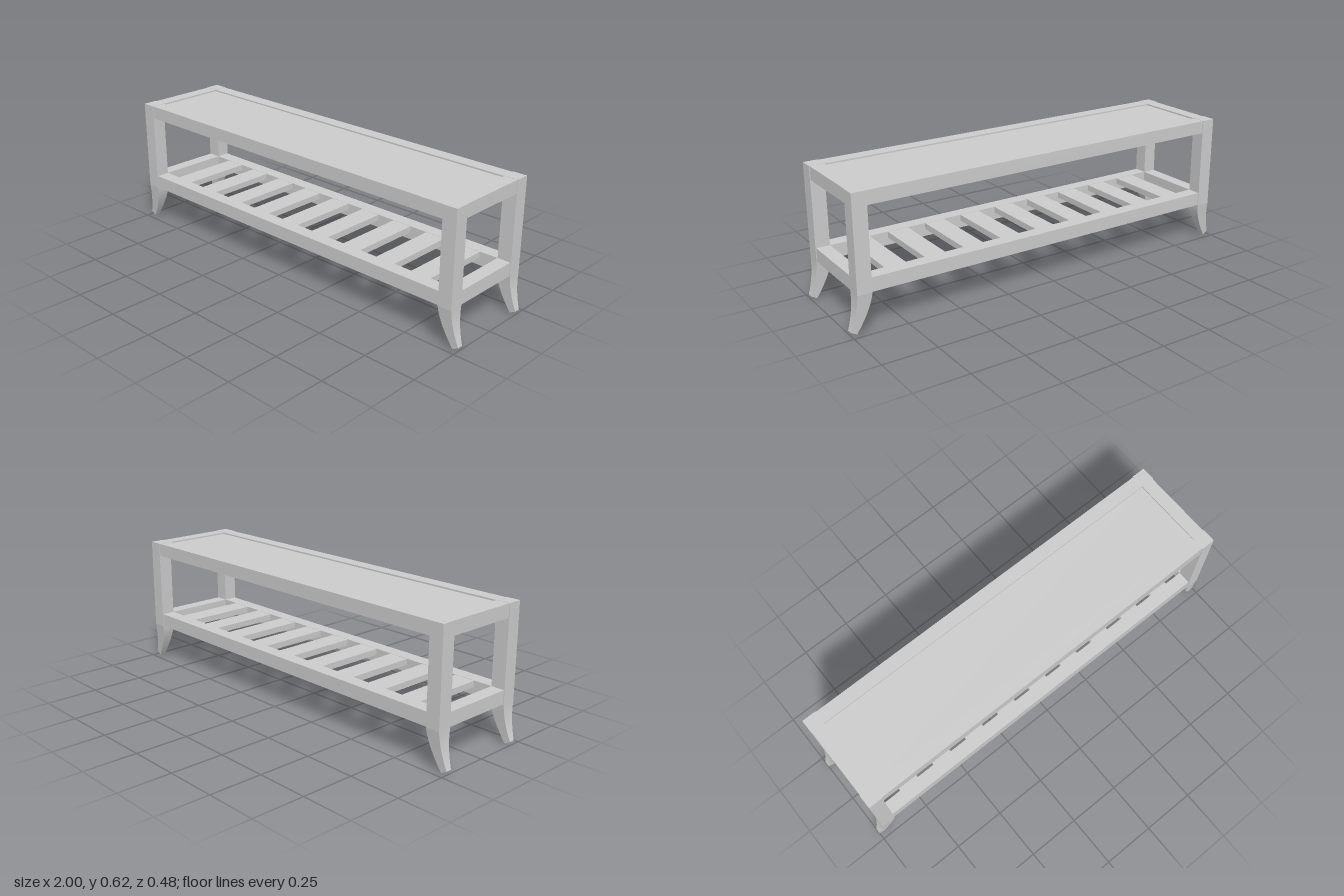
import * as THREE from 'three';

const W = 0.067;                 // leg and rail thickness
const LEG_X = 0.9365, LEG_Z = 0.2065;
const INNER_X = LEG_X - W / 2, INNER_Z = LEG_Z - W / 2;
const INSET = 0.003;             // rails sit slightly behind the leg faces
const SPLIT = 0.18;              // height where the leg starts to flare

// Tapered foot sweeping outward along +x, with a slanted sole
function footGeometry() {
  const geo = new THREE.BoxGeometry(1, 1, 1, 1, 10, 1);
  const p = geo.attributes.position;
  for (let i = 0; i < p.count; i++) {
    const t = 0.5 - p.getY(i);   // 0 at the top, 1 at the sole
    const outer = p.getX(i) > 0;
    const x = outer ? W / 2 + 0.03 * t * t : -W / 2 + 0.07 * Math.pow(t, 1.6);
    const y = SPLIT - t * (outer ? SPLIT - 0.015 : SPLIT);
    const z = Math.sign(p.getZ(i)) * (W / 2 - 0.02 * t);
    p.setXYZ(i, x, y, z);
  }
  geo.computeVertexNormals();
  return geo;
}

export function createModel() {
  const model = new THREE.Group();
  model.name = 'slattedBench';
  const paint = new THREE.MeshStandardMaterial({ color: 0xcccccc });
  paint.name = 'lightGrey';

  // Box given by its lower and upper limits
  function box(name, x0, x1, y0, y1, z0, z1, parent = model) {
    const mesh = new THREE.Mesh(new THREE.BoxGeometry(x1 - x0, y1 - y0, z1 - z0), paint);
    mesh.position.set((x0 + x1) / 2, (y0 + y1) / 2, (z0 + z1) / 2);
    mesh.name = name;
    parent.add(mesh);
  }

  // Four legs, each a square post over a flared foot
  const foot = footGeometry();
  for (const sx of [-1, 1]) for (const sz of [-1, 1]) {
    const leg = new THREE.Group();
    leg.name = (sz > 0 ? 'front' : 'back') + (sx > 0 ? 'Left' : 'Right') + 'Leg';
    leg.position.set(sx * LEG_X, 0, sz * LEG_Z);
    if (sx < 0) leg.rotation.y = Math.PI;
    box('post', -W / 2, W / 2, SPLIT, 0.62, -W / 2, W / 2, leg);
    const f = new THREE.Mesh(foot, paint);
    f.name = 'foot';
    leg.add(f);
    model.add(leg);
  }

  // Rails around the seat and around the shelf
  for (const [level, y0, y1] of [['seat', 0.557, 0.619], ['shelf', 0.181, 0.245]]) {
    for (const s of [-1, 1]) {
      const zs = [s * INNER_Z, s * (INNER_Z + W - INSET)].sort((a, b) => a - b);
      const xs = [s * INNER_X, s * (INNER_X + W - INSET)].sort((a, b) => a - b);
      box(level + (s > 0 ? 'FrontRail' : 'BackRail'), -INNER_X, INNER_X, y0, y1, zs[0], zs[1]);
      box(level + (s > 0 ? 'LeftRail' : 'RightRail'), xs[0], xs[1], y0, y1, -INNER_Z, INNER_Z);
    }
  }

  // Recessed seat panel
  box('seatPanel', -INNER_X, INNER_X, 0.592, 0.612, -INNER_Z, INNER_Z);

  // Evenly spaced shelf slats
  const count = 9, slat = 0.1;
  const gap = (2 * INNER_X - count * slat) / (count + 1);
  for (let i = 0; i < count; i++) {
    const x = -INNER_X + gap + i * (slat + gap);
    box('shelfSlat', x, x + slat, 0.215, 0.244, -INNER_Z, INNER_Z);
  }
  return model;
}
